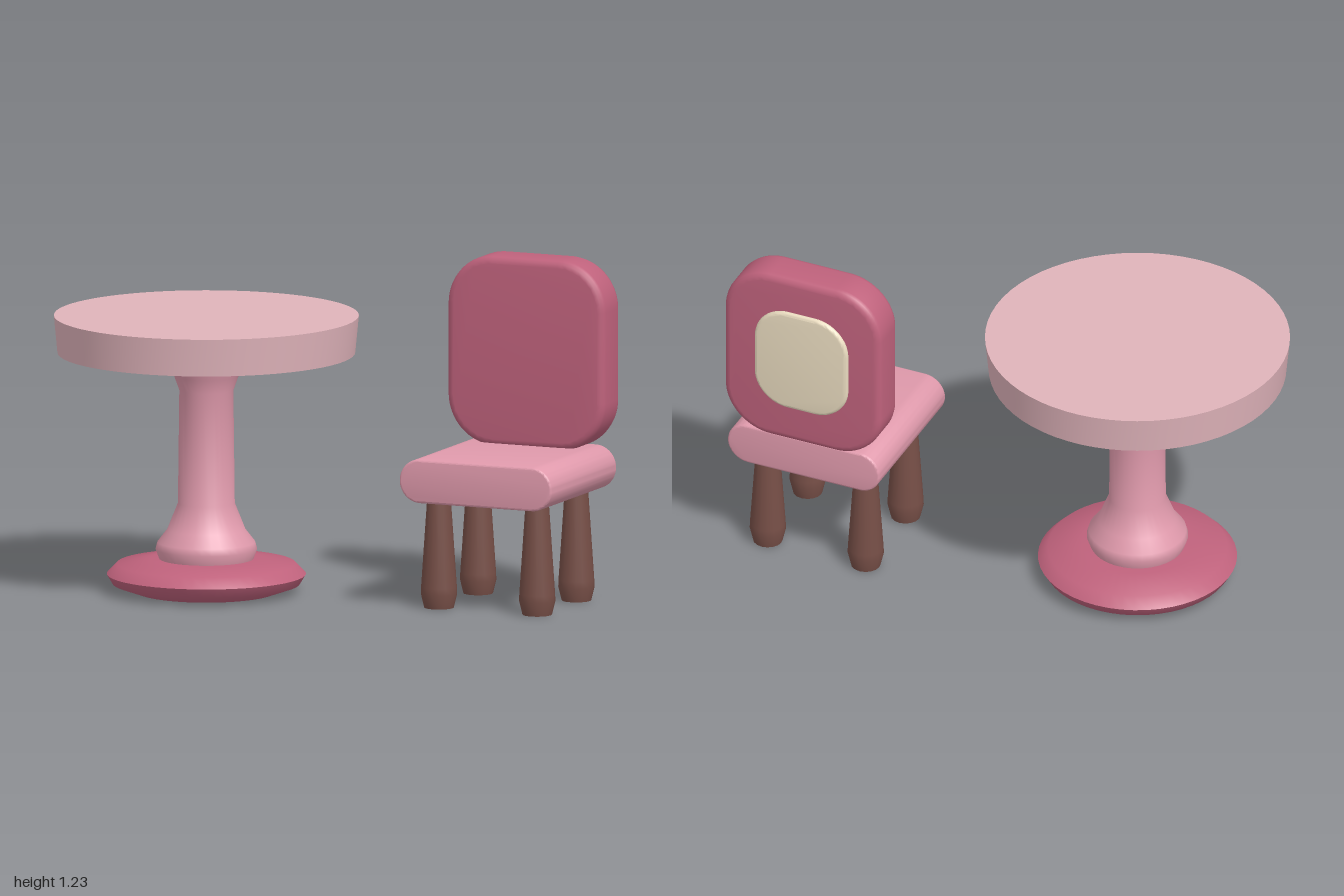
import * as THREE from 'three';
import { toCreasedNormals } from 'three/addons/utils/BufferGeometryUtils.js';

const material = (color) => new THREE.MeshStandardMaterial({ color });
const PALE = material(0xdfb3ba);
const PINK = material(0xe09aac);
const ROSE = material(0xbf627c);
const WOOD = material(0x774f47);
const CREAM = material(0xeadcc0);

function part(name, geometry, mat, crease = 0.7) {
  const mesh = new THREE.Mesh(toCreasedNormals(geometry, crease), mat);
  mesh.name = name;
  return mesh;
}

// Solid of revolution from [radius, y] pairs, bottom to top
function turned(points, segments) {
  return new THREE.LatheGeometry(points.map(([r, y]) => new THREE.Vector2(r, y)), segments);
}

// Rounded rectangle slab, centred on the origin, with softened edges
function slab(width, height, depth, radius, bevel) {
  const w = width / 2 - bevel, h = height / 2 - bevel;
  const r = Math.min(radius - bevel, w, h);
  const shape = new THREE.Shape();
  shape.absarc(w - r, h - r, r, 0, Math.PI / 2);
  shape.absarc(-w + r, h - r, r, Math.PI / 2, Math.PI);
  shape.absarc(-w + r, -h + r, r, Math.PI, Math.PI * 1.5);
  shape.absarc(w - r, -h + r, r, Math.PI * 1.5, Math.PI * 2);
  const geometry = new THREE.ExtrudeGeometry(shape, {
    depth: depth - 2 * bevel, curveSegments: 8,
    bevelEnabled: true, bevelSize: bevel, bevelThickness: bevel, bevelSegments: 3,
  });
  return geometry.translate(0, 0, -depth / 2 + bevel);
}

function createTable() {
  const table = new THREE.Group();
  table.name = 'table';

  const top = part('tableTop', new THREE.CylinderGeometry(0.545, 0.532, 0.135, 64), PALE);
  top.position.y = 0.9325;

  const column = part('tableColumn', turned([
    [0.165, 0.11], [0.182, 0.155], [0.175, 0.18], [0.14, 0.225], [0.102, 0.32],
    [0.097, 0.73], [0.115, 0.78], [0.145, 0.87],
  ], 32), PINK);

  const base = part('tableBase', turned([
    [0, 0], [0.25, 0], [0.335, 0.03], [0.356, 0.065], [0.32, 0.102], [0.2, 0.12], [0, 0.12],
  ], 48), ROSE, 0.9);

  table.add(top, column, base);
  table.position.set(-0.455, 0, -0.117);
  return table;
}

function createChair() {
  const chair = new THREE.Group();
  chair.name = 'chair';

  // Seat cushion with fully rounded sides
  const seat = part('seat', slab(0.595, 0.158, 0.576, 0.079, 0.008), PINK);
  seat.position.set(0, 0.47, -0.002);

  const back = part('backrest', slab(0.614, 0.687, 0.15, 0.18, 0.025), ROSE);
  back.position.set(0, 0.882, -0.226);

  // Inlay on the rear of the backrest
  const inlay = part('backPanel', slab(0.365, 0.405, 0.04, 0.13, 0.012), CREAM);
  inlay.position.set(0, 0.887, -0.295);

  chair.add(seat, back, inlay);

  // Four tapered legs
  const legShape = turned([
    [0, 0], [0.053, 0], [0.065, 0.05], [0.064, 0.075], [0.042, 0.4],
  ], 16);
  for (const [side, x] of [['left', 0.192], ['right', -0.192]]) {
    for (const [end, z] of [['Front', 0.172], ['Back', -0.172]]) {
      const leg = part(`${side}${end}Leg`, legShape, WOOD);
      leg.position.set(x, 0, z);
      chair.add(leg);
    }
  }

  chair.position.set(0.587, 0, 0.265);
  chair.rotation.y = -Math.PI / 6;
  return chair;
}

export function createModel() {
  const model = new THREE.Group();
  model.name = 'tableAndChair';
  model.add(createTable(), createChair());
  return model;
}
